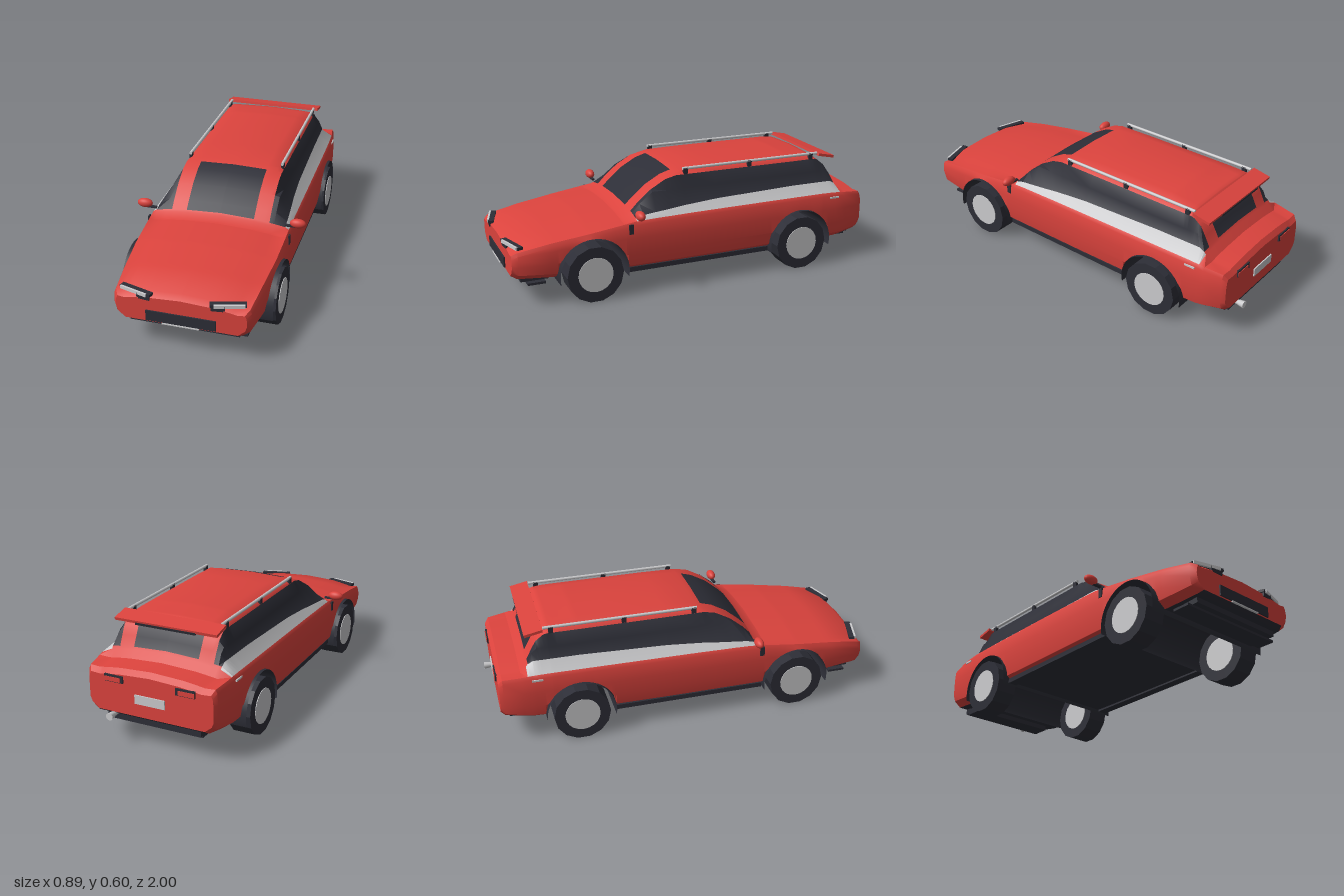
import * as THREE from 'three';
import { toCreasedNormals } from 'three/addons/utils/BufferGeometryUtils.js';

const mat = (name, color, side = THREE.FrontSide) => {
  const m = new THREE.MeshStandardMaterial({ color, side });
  m.name = name;
  return m;
};

// Body stations: z, half width, floor y, belt y, trim top y, trim top x, roof y
const STATIONS = [
  [-0.965, 0.33, 0.165, 0.35, 0.44, 0.30, 0.37],
  [-0.945, 0.343, 0.15, 0.375, 0.44, 0.30, 0.395],
  [-0.85, 0.358, 0.135, 0.385, 0.44, 0.30, 0.405],
  [-0.81, 0.362, 0.13, 0.39, 0.44, 0.30, 0.45],
  [-0.76, 0.365, 0.13, 0.393, 0.442, 0.30, 0.54],
  [-0.70, 0.368, 0.13, 0.395, 0.443, 0.30, 0.588],
  [-0.55, 0.37, 0.128, 0.395, 0.443, 0.30, 0.602],
  [-0.1, 0.372, 0.125, 0.392, 0.432, 0.31, 0.602],
  [0.08, 0.372, 0.125, 0.39, 0.422, 0.32, 0.59],
  [0.17, 0.372, 0.125, 0.388, 0.415, 0.328, 0.563],
  [0.25, 0.372, 0.125, 0.387, 0.41, 0.335, 0.518],
  [0.32, 0.372, 0.125, 0.385, 0.405, 0.34, 0.46],
  [0.37, 0.372, 0.125, 0.382, 0.402, 0.34, 0.415],
  [0.42, 0.372, 0.125, 0.375, 0.4, 0.33, 0.396],
  [0.6, 0.368, 0.13, 0.35, 0.4, 0.32, 0.38],
  [0.8, 0.352, 0.135, 0.322, 0.4, 0.32, 0.352],
  [0.96, 0.336, 0.145, 0.292, 0.4, 0.32, 0.318],
  [0.988, 0.318, 0.16, 0.275, 0.4, 0.32, 0.297],
];
const AXLES = [0.59, -0.565];
const WHEEL_Y = 0.145, ARCH = 0.18;

function stationAt(z) {
  let i = 0;
  while (i < STATIONS.length - 2 && STATIONS[i + 1][0] < z) i++;
  const a = STATIONS[i], b = STATIONS[i + 1];
  const t = (z - a[0]) / (b[0] - a[0]);
  return a.map((v, k) => v + (b[k] - v) * t);
}

// Closed cross-section at z, cut away above the wheels
function section(z) {
  const [, w, floor, belt, trimY, trimX, roof] = stationAt(z);
  let cut = 0;
  for (const axle of AXLES) {
    const d = ARCH * ARCH - (z - axle) ** 2;
    if (d > 1e-6) cut = WHEEL_Y + Math.sqrt(d);
  }
  const k = Math.min(1, w / 0.37);
  const upper = (x, y) => [x * k, Math.min(y, roof - 0.26 * x * x * (roof > 0.45 ? 0.7 : 1))];
  const half = [
    [0, floor], [w * 0.86, floor], [w * 0.97, floor + 0.03], [w, 0.22],
    [w, Math.min(0.3, belt - 0.04)], [w * 0.99, belt - 0.018], [w * 0.965, belt],
    upper(trimX, trimY), upper(0.283, 0.5), upper(0.258, 0.565), upper(0.235, 0.583),
    upper(0.178, 0.597), [0, roof],
  ].map(([x, y]) => new THREE.Vector3(x, Math.max(y, cut), z));
  const mirror = half.slice(1, -1).reverse().map((p) => new THREE.Vector3(-p.x, p.y, z));
  return [...half, ...mirror];
}

function bodyGeometry() {
  const zs = [...STATIONS.map((s) => s[0]), 0.36, 0.11, -0.735, -0.82, -0.785];
  for (const axle of AXLES)
    for (let i = 0; i <= 18; i++) zs.push(axle + ARCH * Math.cos((i / 18) * Math.PI));
  for (const axle of AXLES) zs.push(axle - ARCH - 0.001, axle + ARCH + 0.001);
  zs.sort((a, b) => a - b);
  const rings = zs.map(section), n = rings[0].length;
  const faces = [[], [], []]; // paint, dark, silver
  const tri = (m, ...ps) => ps.forEach((p) => faces[m].push(p.x, p.y, p.z));

  for (let i = 0; i < rings.length - 1; i++) {
    const z = (zs[i] + zs[i + 1]) / 2;
    for (let j = 0; j < n; j++) {
      const col = j < n / 2 ? j : n - 1 - j, q = (j + 1) % n;
      let m = 0;
      if (col === 0) m = 1;                                             // underside
      if (col === 6 && z > -0.82 && z < 0.36) m = 2;                    // belt trim
      if ((col === 7 || col === 8) && z > -0.81 && z < 0.36) m = 1;     // side glass
      if (col === 11 && ((z > 0.11 && z < 0.36) || (z > -0.81 && z < -0.735))) m = 1;
      tri(m, rings[i][j], rings[i][q], rings[i + 1][q]);
      tri(m, rings[i][j], rings[i + 1][q], rings[i + 1][j]);
    }
  }
  // nose and tail caps
  const first = rings[0], last = rings[rings.length - 1];
  const tail = new THREE.Vector3(0, 0.26, zs[0]), nose = new THREE.Vector3(0, 0.23, zs[zs.length - 1]);
  for (let j = 0; j < n; j++) {
    const q = (j + 1) % n;
    tri(0, tail, first[q], first[j]);
    tri(0, nose, last[j], last[q]);
  }
  const geo = new THREE.BufferGeometry();
  geo.setAttribute('position', new THREE.Float32BufferAttribute(faces.flat(), 3));
  let start = 0;
  faces.forEach((f, m) => {
    geo.addGroup(start, f.length / 3, m);
    start += f.length / 3;
  });
  return toCreasedNormals(geo, 0.6);
}

export function createModel() {
  const car = new THREE.Group();
  car.name = 'car';
  const red = mat('red paint', 0xdb433d);
  const dark = mat('dark trim', 0x2d2e37, THREE.DoubleSide);
  const silver = mat('silver', 0xcbcbcd);

  const add = (name, geo, material, x = 0, y = 0, z = 0, rx = 0, ry = 0, rz = 0) => {
    const mesh = new THREE.Mesh(geo, material);
    mesh.name = name;
    mesh.position.set(x, y, z);
    mesh.rotation.set(rx, ry, rz);
    car.add(mesh);
    return mesh;
  };
  const box = (name, m, w, h, d, ...place) => add(name, new THREE.BoxGeometry(w, h, d), m, ...place);

  add('body', bodyGeometry(), [red, dark, silver]);

  // wheels and full-width arch liners
  for (const z of AXLES) {
    const liner = new THREE.CylinderGeometry(0.178, 0.178, 0.766, 24, 1, true, -0.2, Math.PI + 0.4);
    liner.rotateZ(Math.PI / 2);
    // turn the open side of the shell downwards
    liner.computeBoundingBox();
    if (liner.boundingBox.max.y < 0.1) liner.rotateX(Math.PI);
    add('archLiner', liner, dark, 0, WHEEL_Y, z);
    for (const s of [1, -1]) {
      add('tyre', toCreasedNormals(new THREE.CylinderGeometry(0.145, 0.145, 0.114, 14), 0.3),
        dark, s * 0.331, WHEEL_Y, z, 0, 0, Math.PI / 2);
      add('hubcap', new THREE.CylinderGeometry(0.09, 0.09, 0.12, 20), silver, s * 0.331, WHEEL_Y, z, 0, 0, Math.PI / 2);
    }
  }

  // paired details
  for (const s of [1, -1]) {
    const mirror = add('mirror', new THREE.SphereGeometry(1, 20, 14), red, s * 0.404, 0.425, 0.36);
    mirror.scale.set(0.041, 0.024, 0.023);
    box('mirrorStalk', dark, 0.05, 0.009, 0.015, s * 0.365, 0.407, 0.36);
    box('headlightHousing', dark, 0.17, 0.014, 0.03, s * 0.222, 0.304, 0.962, 0, s * 0.28);
    box('headlightLens', silver, 0.145, 0.016, 0.01, s * 0.232, 0.305, 0.976, 0, s * 0.28);
    box('foglight', dark, 0.065, 0.03, 0.012, s * 0.18, 0.292, 0.985, 0, s * 0.12);
    box('sideVent', dark, 0.008, 0.05, 0.024, s * 0.37, 0.348, 0.395);
    box('sideMarker', silver, 0.008, 0.009, 0.055, s * 0.362, 0.367, -0.775);
    box('tailLightFrame', dark, 0.1, 0.035, 0.012, s * 0.19, 0.338, -0.966);
    box('tailLight', red, 0.085, 0.022, 0.012, s * 0.196, 0.335, -0.969);
    // roof rail with three posts
    add('roofRail', new THREE.CylinderGeometry(0.008, 0.008, 0.79, 8), silver, s * 0.25, 0.594, -0.325, Math.PI / 2);
    for (const z of [0.055, -0.31, -0.68]) box('railPost', dark, 0.015, 0.034, 0.024, s * 0.25, 0.58, z);
    box('sill', dark, 0.05, 0.025, 0.79, s * 0.325, 0.128, 0.012);
  }

  // front
  box('grille', dark, 0.34, 0.054, 0.01, 0, 0.194, 0.99);
  box('frontPlate', silver, 0.18, 0.006, 0.01, 0, 0.163, 0.993);
  box('frontSplitter', dark, 0.6, 0.012, 0.09, 0, 0.111, 0.865);
  box('frontValance', dark, 0.54, 0.03, 0.14, 0, 0.132, 0.87);

  // rear
  box('spoiler', red, 0.545, 0.014, 0.095, 0, 0.58, -0.768, -0.2);
  box('spoilerStrut', dark, 0.32, 0.012, 0.03, 0, 0.565, -0.8, -0.2);
  box('rearPlate', silver, 0.16, 0.045, 0.008, 0, 0.255, -0.967);
  box('rearDiffuser', dark, 0.5, 0.016, 0.1, 0, 0.114, -0.87);
  box('rearValance', dark, 0.5, 0.03, 0.12, 0, 0.132, -0.88);
  add('exhaust', new THREE.CylinderGeometry(0.013, 0.013, 0.09, 12), silver, 0.205, 0.15, -0.935, Math.PI / 2);
  add('exhaustTip', new THREE.CylinderGeometry(0.019, 0.015, 0.03, 12), silver, 0.205, 0.15, -0.985, -Math.PI / 2);
  return car;
}
